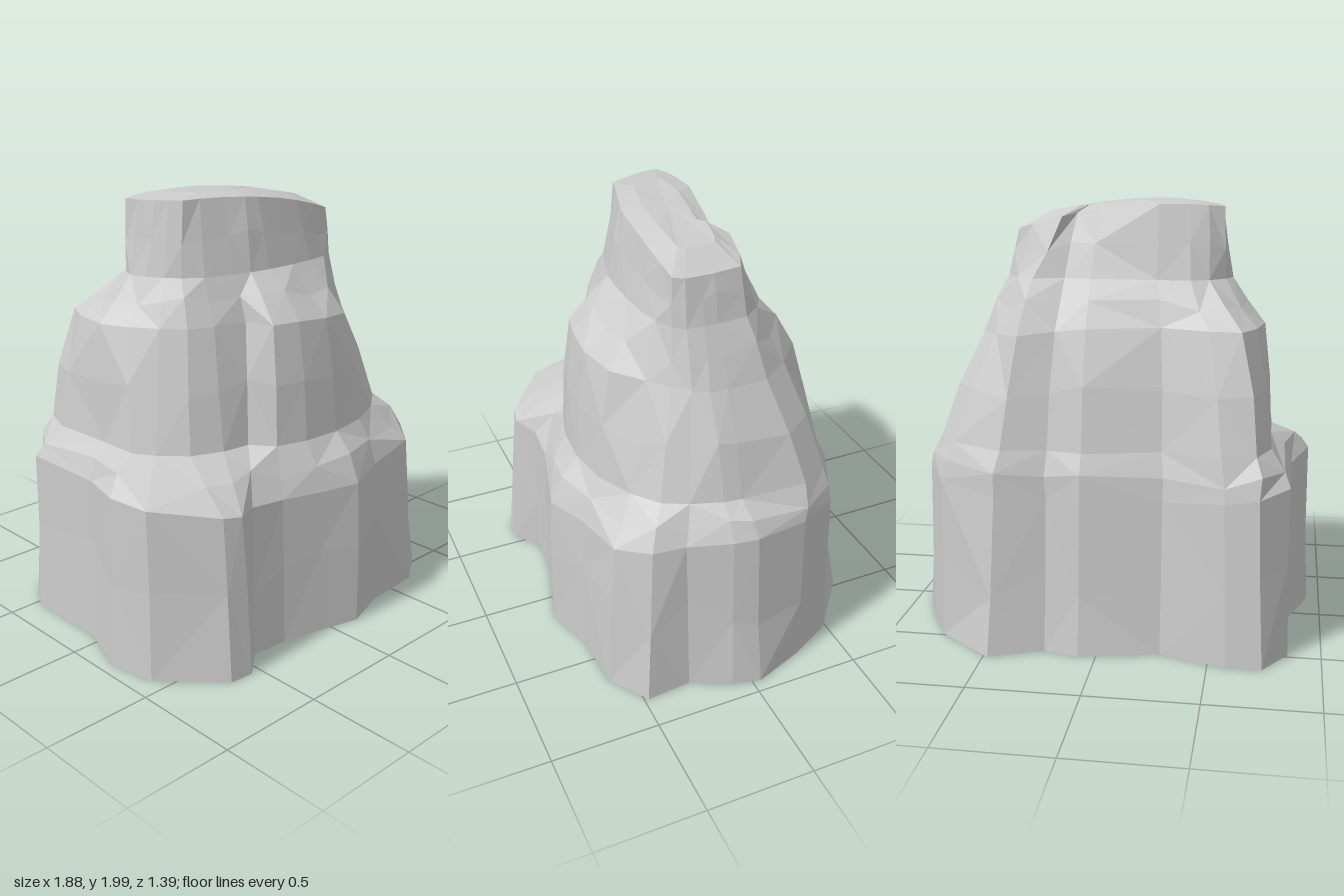
import * as THREE from 'three';

// Outlines as x, z pairs, from the left side round the front, right and back
const base = [.94, -.04, .91, .09, .82, .27, .84, .48, .66, .6, .36, .62, .14, .69, -.05, .64,
  -.25, .59, -.43, .58, -.55, .68, -.66, .67, -.9, .42, -.94, .2, -.85, -.06, -.85, -.48,
  -.74, -.65, -.58, -.65, -.28, -.56, .08, -.64, .24, -.6, .48, -.7, .74, -.49, .85, -.28];
const ledgeEdge = [.88, -.03, .86, .08, .78, .27, .76, .42, .64, .55, .36, .59, .14, .67, -.05, .62,
  -.25, .57, -.43, .56, -.55, .62, -.64, .6, -.89, .4, -.92, .2, -.84, -.04, -.84, -.46,
  -.71, -.59, -.56, -.59, -.28, -.5, .08, -.57, .24, -.53, .46, -.6, .74, -.47, .84, -.28];
const ledgeInner = [.76, 0, .75, .08, .7, .22, .64, .33, .52, .42, .34, .5, .14, .53, -.05, .52,
  -.2, .48, -.28, .38, -.42, .37, -.57, .32, -.68, .22, -.74, .13, -.74, -.06, -.75, -.37,
  -.69, -.52, -.54, -.55, -.27, -.45, .08, -.52, .24, -.49, .44, -.55, .68, -.45, .77, -.31];
const shoulder = [.6, 0, .59, .08, .56, .15, .5, .22, .42, .3, .3, .42, .12, .47, -.05, .46,
  -.18, .43, -.22, .3, -.38, .27, -.49, .22, -.57, .13, -.65, .01, -.7, -.12, -.67, -.3,
  -.61, -.42, -.47, -.41, -.25, -.34, .08, -.38, .22, -.38, .38, -.43, .5, -.32, .59, -.19];
const neck = [.49, 0, .49, .06, .48, .14, .44, .19, .36, .23, .25, .25, .12, .26, -.03, .26,
  -.14, .25, -.22, .23, -.36, .19, -.44, .13, -.49, .07, -.53, 0, -.55, -.08, -.52, -.15,
  -.45, -.22, -.37, -.25, -.22, -.25, .08, -.25, .2, -.24, .34, -.27, .42, -.22, .48, -.14];
const crown = [.44, 0, .44, .06, .44, .13, .42, .18, .33, .19, .2, .2, .08, .2, -.05, .2,
  -.12, .19, -.22, .16, -.33, .13, -.41, .11, -.44, .05, -.47, 0, -.5, -.08, -.51, -.15,
  -.44, -.17, -.36, -.18, -.22, -.19, .05, -.14, .16, -.12, .22, -.18, .36, -.16, .43, -.13];

// Each outline with its height rule
const sections = [
  [base, () => 0],
  [ledgeEdge, x => 0.69 + 0.12 * x * x],
  [ledgeInner, x => 0.91 + 0.03 * x * x],
  [shoulder, x => 1.45 - 0.1 * Math.max(x, 0)],
  [neck, () => 1.65],
  [crown, x => 1.98 - 0.22 * (x + 0.3) ** 2],
];

function seeded(seed) {
  return () => (seed = (seed * 16807) % 2147483647) / 2147483647 - 0.5;
}

// Outlines as points, with a roughened ring between each neighbouring pair
function makeRings() {
  const random = seeded(77);
  const main = sections.map(([outline, height]) => {
    const ring = [];
    for (let i = 0; i < outline.length; i += 2) {
      ring.push(new THREE.Vector3(outline[i], height(outline[i]), outline[i + 1]));
    }
    return ring;
  });
  const rings = [main[0]];
  for (let r = 1; r < main.length; r++) {
    const rise = r === 1 ? 0.2 : 0.06;
    rings.push(main[r].map((p, i) => {
      const q = main[r - 1][i].clone().lerp(p, 0.5);
      const swell = (r === 2 || r === 3 ? 1.02 : 1) + random() * 0.02;
      return q.set(q.x * swell, q.y + random() * rise, q.z * swell);
    }));
    rings.push(main[r]);
  }
  return rings;
}

function flatMesh(name, positions) {
  const geometry = new THREE.BufferGeometry();
  geometry.setAttribute('position', new THREE.Float32BufferAttribute(positions, 3));
  geometry.computeVertexNormals();
  const material = new THREE.MeshStandardMaterial({
    color: 0xcccccc, flatShading: true, side: THREE.DoubleSide,
  });
  const mesh = new THREE.Mesh(geometry, material);
  mesh.name = name;
  return mesh;
}

export function createModel() {
  const group = new THREE.Group();
  group.name = 'rock';
  const rings = makeRings();
  const count = rings[0].length;

  // Rock face, open underneath, with alternating diagonals
  const sides = [];
  const add = (list, ...points) => points.forEach(p => list.push(p.x, p.y, p.z));
  for (let r = 0; r < rings.length - 1; r++) {
    for (let i = 0; i < count; i++) {
      const j = (i + 1) % count;
      const a = rings[r][i], b = rings[r][j], c = rings[r + 1][i], d = rings[r + 1][j];
      if ((r + i) % 2) add(sides, a, c, b, b, c, d);
      else add(sides, a, c, d, a, d, b);
    }
  }
  group.add(flatMesh('rockFace', sides));

  // Sloping summit, joined to a slightly raised inner ring and centre
  const rim = rings[rings.length - 1];
  const inner = rim.map(p => new THREE.Vector3(
    p.x * 0.7, 1.995 - 0.2 * (p.x * 0.7 + 0.25) ** 2, p.z * 0.55));
  const centre = new THREE.Vector3(-0.05, 1.985, 0);
  const top = [];
  for (let i = 0; i < count; i++) {
    const j = (i + 1) % count;
    add(top, rim[i], inner[i], rim[j], rim[j], inner[i], inner[j], inner[i], centre, inner[j]);
  }
  group.add(flatMesh('summit', top));
  return group;
}
